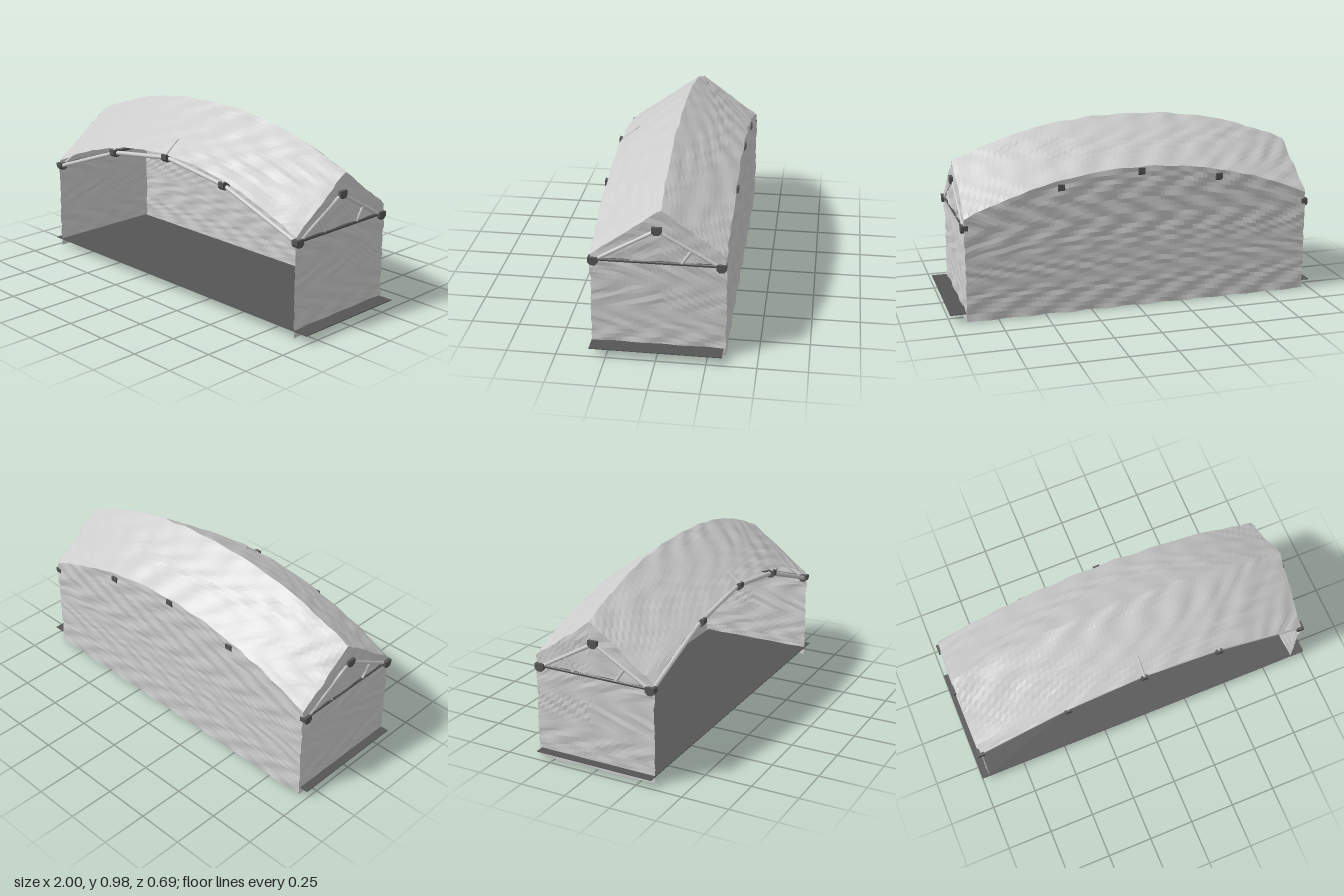
import * as THREE from 'three';

const CX = -0.02, HALF = 0.935;          // centre and half length of the shelter
const RIDGE_Z = -0.02, FRONT_Z = 0.33, BACK_Z = -0.338;

// Arched heights along the length
const arch = (x, top, drop, p) => top - drop * Math.pow(Math.min(1, Math.abs(x - CX) / HALF), p);
const ridgeY = x => arch(x, 0.985, 0.197, 2.2);
const frontY = x => arch(x, 0.757, 0.225, 2);
const backY = x => arch(x, 0.765, 0.21, 2);

// Crumple field depends only on position, so neighbouring sheets share their seams
function crumple(v) {
  const w = (a, b, c, s) =>
    Math.sin(a * v.x + 3.1 * Math.sin(b * v.y + s)) * Math.cos(c * v.z + 2.3 * Math.sin(a * v.y - s));
  const dx = 0.0045 * w(23, 17, 29, 1), dy = 0.004 * w(31, 13, 19, 2), dz = 0.0045 * w(27, 21, 15, 4);
  v.set(v.x + dx, v.y + dy, v.z + dz);
}

export function createModel() {
  const model = new THREE.Group();
  const cloth = new THREE.MeshStandardMaterial({ color: 0xcccccc, flatShading: true, side: THREE.DoubleSide });
  const metal = new THREE.MeshStandardMaterial({ color: 0xcccccc });
  const dark = new THREE.MeshStandardMaterial({ color: 0x555555, flatShading: true });

  function add(parent, name, geometry, material) {
    const mesh = new THREE.Mesh(geometry, material);
    mesh.name = name;
    parent.add(mesh);
    return mesh;
  }

  // Crumpled sheet from a rule (u, v) -> [x, y, z]
  function sheet(name, nu, nv, rule) {
    const g = new THREE.PlaneGeometry(1, 1, nu, nv);
    const pos = g.attributes.position, v = new THREE.Vector3();
    for (let i = 0; i < pos.count; i++) {
      v.set(...rule(pos.getX(i) + 0.5, pos.getY(i) + 0.5));
      crumple(v);
      pos.setXYZ(i, v.x, v.y, v.z);
    }
    g.computeVertexNormals();
    add(model, name, g, cloth);
  }

  const lerp = THREE.MathUtils.lerp;
  const alongX = u => CX + HALF * (2 * u - 1);

  // Roof slopes and back wall
  sheet('frontRoof', 72, 16, (u, v) => {
    const x = alongX(u);
    return [x, lerp(frontY(x), ridgeY(x), v), lerp(FRONT_Z, RIDGE_Z, v)];
  });
  sheet('backRoof', 72, 16, (u, v) => {
    const x = alongX(u);
    return [x, lerp(ridgeY(x), backY(x), v), lerp(RIDGE_Z, BACK_Z, v)];
  });
  sheet('backWall', 72, 28, (u, v) => {
    const x = alongX(u);
    return [x, lerp(0.008, backY(x), v), BACK_Z];
  });

  // End walls rising into gables; the centre column lands on the ridge
  for (const s of [-1, 1]) {
    const x = CX + s * HALF;
    sheet(s > 0 ? 'leftWall' : 'rightWall', 24, 28, (u, v) => {
      const k = Math.abs(2 * u - 1), front = u > 0.5;
      const z = lerp(RIDGE_Z, front ? FRONT_Z : BACK_Z, k);
      const top = lerp(ridgeY(x), front ? frontY(x) : backY(x), k);
      return [x, lerp(0.008, top, v), z];
    });
  }

  // Thin floor panel
  add(model, 'floor', new THREE.BoxGeometry(2, 0.004, 0.66), dark).position.set(0, 0.05, 0.003);

  // Round bar between two points
  function bar(parent, name, a, b, r, material = metal, r2 = r) {
    const p = new THREE.Vector3(...a), q = new THREE.Vector3(...b);
    const mesh = add(parent, name, new THREE.CylinderGeometry(r2, r, p.distanceTo(q), 10), material);
    mesh.position.copy(p).lerp(q, 0.5);
    mesh.quaternion.setFromUnitVectors(new THREE.Vector3(0, 1, 0), q.sub(p).normalize());
  }

  // Joint block with chamfered lower corners
  const outline = new THREE.Shape([
    [-0.025, 0.02], [-0.025, -0.006], [-0.012, -0.02], [0.012, -0.02], [0.025, -0.006], [0.025, 0.02],
  ].map(p => new THREE.Vector2(...p)));
  const jointGeo = new THREE.ExtrudeGeometry(outline, { depth: 0.036, bevelEnabled: false });
  jointGeo.translate(0, 0, -0.018).rotateY(Math.PI / 2);

  const frame = new THREE.Group();
  frame.name = 'frame';
  model.add(frame);

  // Five trusses: x position and eave height
  const stations = [[-0.953, 0.5], [-0.45, 0.68], [-0.02, 0.738], [0.41, 0.68], [0.913, 0.5]];
  const EAVE = 0.313, RISE = 0.18;
  stations.forEach(([x, y], i) => {
    const end = i === 0 || i === 4;
    const truss = new THREE.Group();
    truss.name = 'truss';
    frame.add(truss);
    const joint = (name, jy, z) => add(truss, name, jointGeo, dark).position.set(x, jy, z);

    joint('ridgeJoint', y + RISE, 0);
    bar(truss, 'tieBeam', [x, y + 0.008, -EAVE], [x, y + 0.008, EAVE], 0.009, dark);
    for (const s of [-1, 1]) {
      const z = s * (end ? EAVE : s > 0 ? 0.318 : 0.322);
      joint('eaveJoint', y, z);
      bar(truss, 'rafter', [x, y, z], [x, y + RISE, 0], 0.01);
      bar(truss, 'brace', [x, y + 0.085, s * 0.17], [x, y + 0.01, s * 0.12], 0.009);
    }
    // Slim prong over the front edge of the roof
    if (!end) bar(frame, 'prong', [x, y + 0.01, 0.332], [x, y + 0.088, 0.235], 0.009, metal, 0.003);

    // Purlins to the next truss
    if (i < 4) {
      const [x2, y2] = stations[i + 1];
      bar(frame, 'frontEaveBar', [x, y, 0.315], [x2, y2, 0.315], 0.012);
      bar(frame, 'backEaveBar', [x, y, -0.315], [x2, y2, -0.315], 0.012);
      bar(frame, 'ridgeBar', [x, y + RISE, 0], [x2, y2 + RISE, 0], 0.012);
    }
  });
  return model;
}
